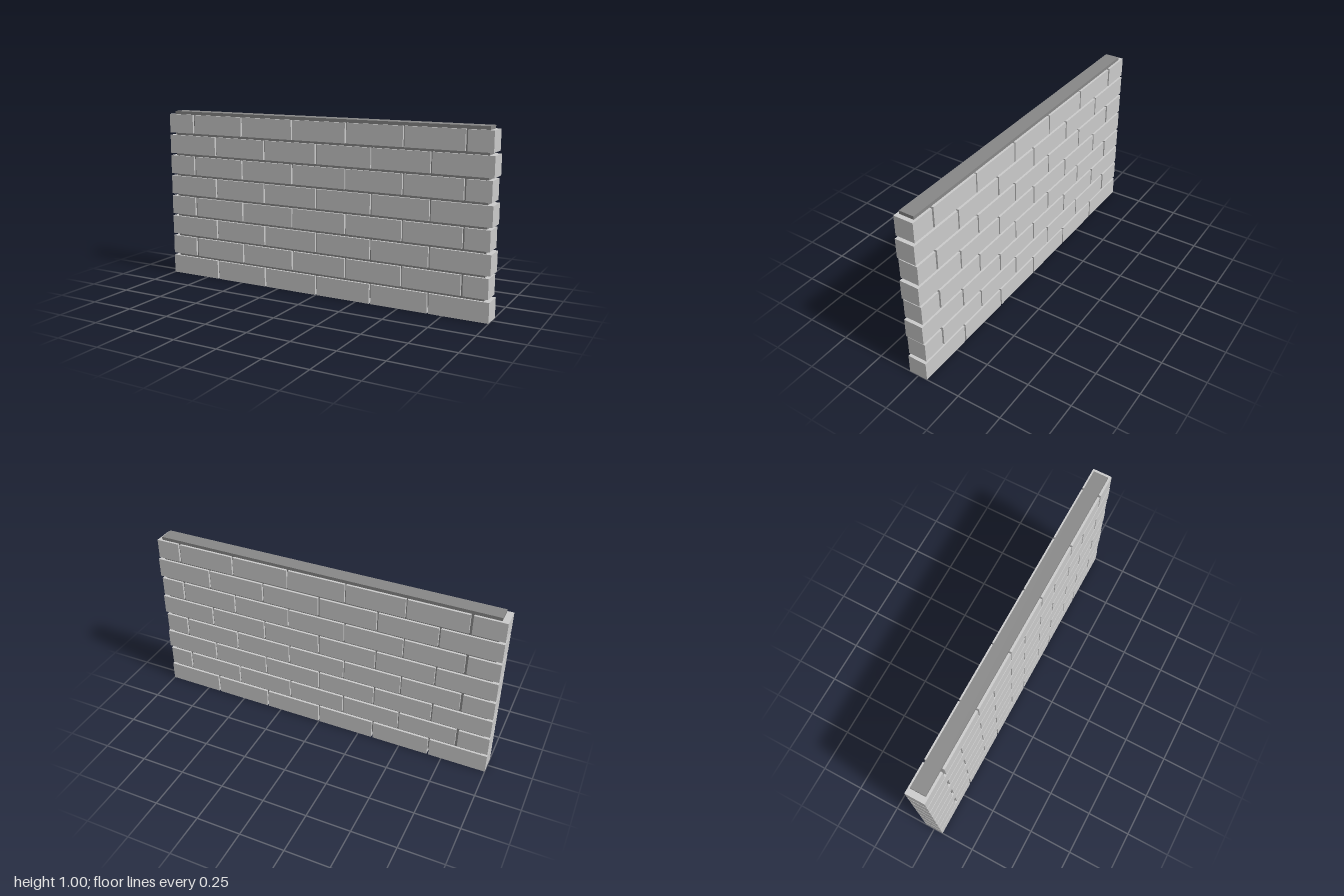
import * as THREE from 'three';

const BRICK_H = 0.11, BRICK_D = 0.11, BRICK_L = 0.325;
const COURSES = 8, COURSE_PITCH = 0.124;

export function createModel() {
  const wall = new THREE.Group();
  wall.name = 'brickWall';
  const brickMat = new THREE.MeshStandardMaterial({ color: 0xcccccc });
  const mortarMat = new THREE.MeshStandardMaterial({ color: 0x888888 });

  // Box given by its extents in x and y, centred on z
  function slab(name, x0, x1, y0, y1, depth, material) {
    const mesh = new THREE.Mesh(new THREE.BoxGeometry(x1 - x0, y1 - y0, depth), material);
    mesh.position.set((x0 + x1) / 2, (y0 + y1) / 2, 0);
    mesh.name = name;
    return mesh;
  }

  // Mortar core, set back from the brick faces and standing proud of the top course
  wall.add(slab('mortarCore', -0.967, 0.968, 0.03, 0.996, 0.084, mortarMat));

  // Running bond: full courses alternate with courses closed by cut bricks
  for (let row = 0; row < COURSES; row++) {
    const course = new THREE.Group();
    course.name = `course${row + 1}`;
    const y = row * COURSE_PITCH;
    const lay = (name, x0, x1) =>
      course.add(slab(name, x0, x1, y, y + BRICK_H, BRICK_D, brickMat));

    if (row % 2 === 0) {
      for (let i = 0; i < 6; i++) lay('brick', -1 + i * 0.335, -1 + i * 0.335 + BRICK_L);
    } else {
      lay('cutBrickRight', -1, -0.83);
      for (let i = 0; i < 5; i++) lay('brick', -0.815 + i * 0.334, -0.815 + i * 0.334 + BRICK_L);
      lay('cutBrickLeft', 0.858, 0.992);
    }
    wall.add(course);
  }
  return wall;
}
